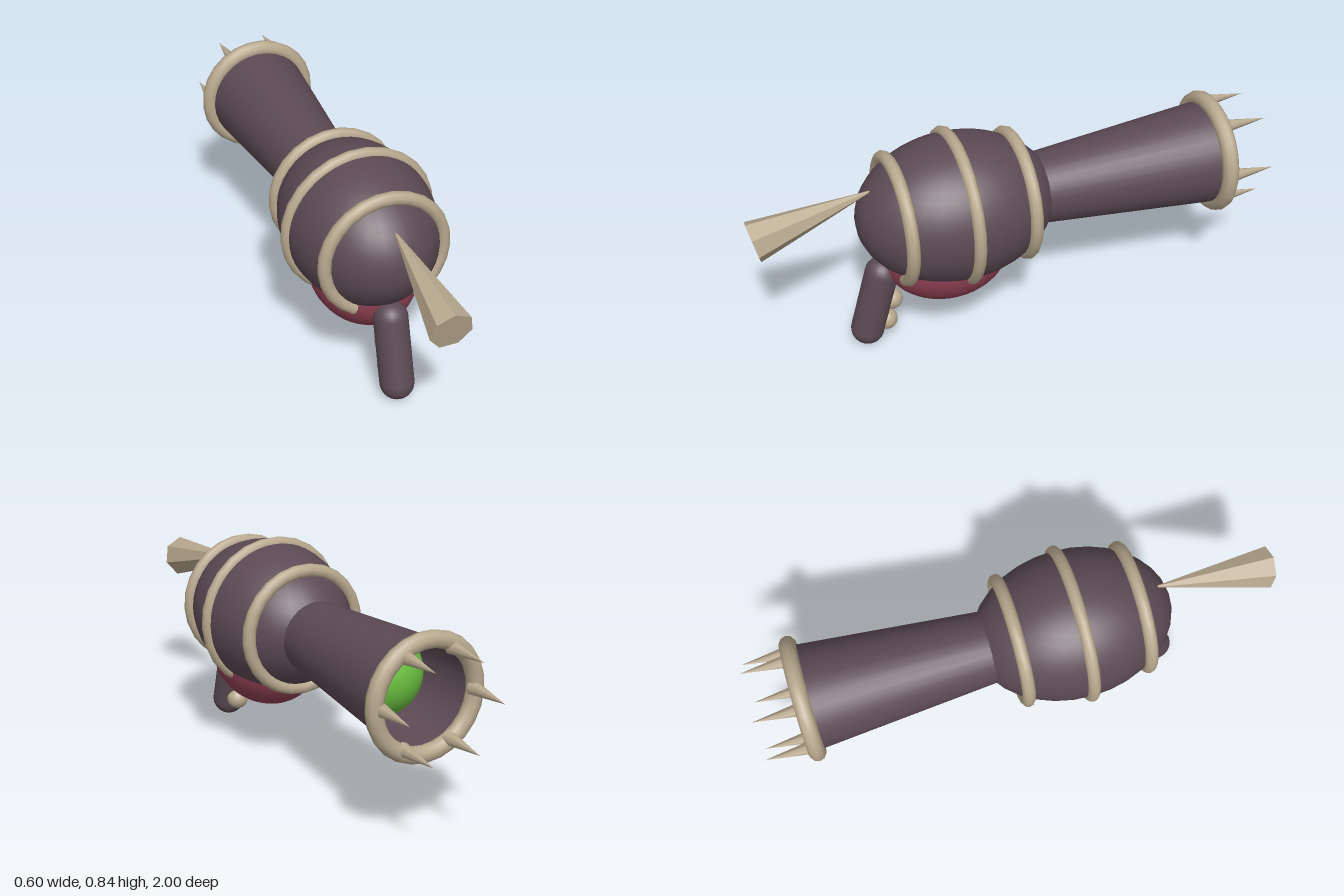
import * as THREE from 'three';

export function createModel() {
  const model = new THREE.Group();
  const mat = (name, color, extra = {}) => {
    const m = new THREE.MeshStandardMaterial({ color, ...extra });
    m.name = name;
    return m;
  };
  const purple = mat('dark purple', 0x5c4a54, { side: THREE.DoubleSide });
  const bone = mat('bone', 0xb8a88e);
  const red = mat('dull red', 0x8f4052);
  const green = mat('bright green', 0x6abf40);

  const AXIS_Y = 0.545; // height of the barrel axis

  const add = (name, geo, material, x, y, z, parent = model) => {
    const mesh = new THREE.Mesh(geo, material);
    mesh.name = name;
    mesh.position.set(x, y, z);
    parent.add(mesh);
    return mesh;
  };
  const ball = (name, material, rx, ry, rz, y, z) => {
    const mesh = add(name, new THREE.SphereGeometry(1, 32, 24), material, 0, y, z);
    mesh.scale.set(rx, ry, rz);
    // poles along the barrel axis
    return mesh;
  };

  // Main bulb, belly sac and glowing charge inside the barrel
  ball('body', purple, 0.28, 0.28, 0.38, AXIS_Y, 0.22);
  ball('bellySac', red, 0.197, 0.197, 0.25, 0.367, 0.262);
  ball('charge', green, 0.162, 0.162, 0.162, AXIS_Y, -0.52);

  // Open, flaring barrel
  const barrel = add('barrel',
    new THREE.CylinderGeometry(0.2, 0.132, 0.76, 32, 1, true), purple, 0, AXIS_Y, -0.435);
  barrel.rotation.x = -Math.PI / 2;

  // Rib rings; a gap leaves the ring open at the bottom
  const ring = (name, radius, tube, z, gap = 0) => {
    const group = new THREE.Group();
    group.name = name;
    group.position.set(0, AXIS_Y, z);
    group.rotation.z = -Math.PI / 2 + gap / 2;
    const arc = Math.PI * 2 - gap;
    add(name + 'Hoop', new THREE.TorusGeometry(radius, tube, 10, gap ? 21 : 25, arc), bone, 0, 0, 0, group);
    if (gap) {
      for (const [angle, turn] of [[0, Math.PI / 2], [arc, -Math.PI / 2]]) {
        const cap = add(name + 'End', new THREE.CircleGeometry(tube, 10), bone,
          radius * Math.cos(angle), radius * Math.sin(angle), 0, group);
        cap.rotation.order = 'ZXY';
        cap.rotation.set(turn, 0, angle);
      }
    }
    model.add(group);
  };
  ring('frontRib', 0.231, 0.025, 0.455, Math.PI / 3);
  ring('middleRib', 0.278, 0.024, 0.22, Math.PI / 3);
  ring('backRib', 0.231, 0.025, -0.015);
  ring('muzzleRing', 0.206, 0.032, -0.813);

  // Six teeth around the muzzle
  for (let i = 0; i < 6; i++) {
    const a = (i * Math.PI) / 3;
    const tooth = add('muzzleTooth', new THREE.ConeGeometry(0.027, 0.18, 8), bone,
      0.19 * Math.cos(a), AXIS_Y + 0.19 * Math.sin(a), -0.91);
    tooth.rotation.x = -Math.PI / 2;
  }

  // Seven-sided horn, its point resting on the bulb
  const hornGeo = new THREE.ConeGeometry(0.08, 0.476, 7).toNonIndexed();
  hornGeo.computeVertexNormals();
  const horn = add('horn', hornGeo, bone, 0, 0.636, 0.75);
  horn.rotation.x = -1.326;

  // Grip, tilted toward the bulb, with two finger knobs
  const grip = add('grip', new THREE.CapsuleGeometry(0.064, 0.255, 8, 20), purple, 0, 0.188, 0.55);
  grip.rotation.x = -0.265;
  for (const [y, z] of [[0.18, 0.483], [0.088, 0.508]]) {
    ball('fingerKnob', bone, 0.042, 0.042, 0.042, y, z);
  }

  return model;
}
